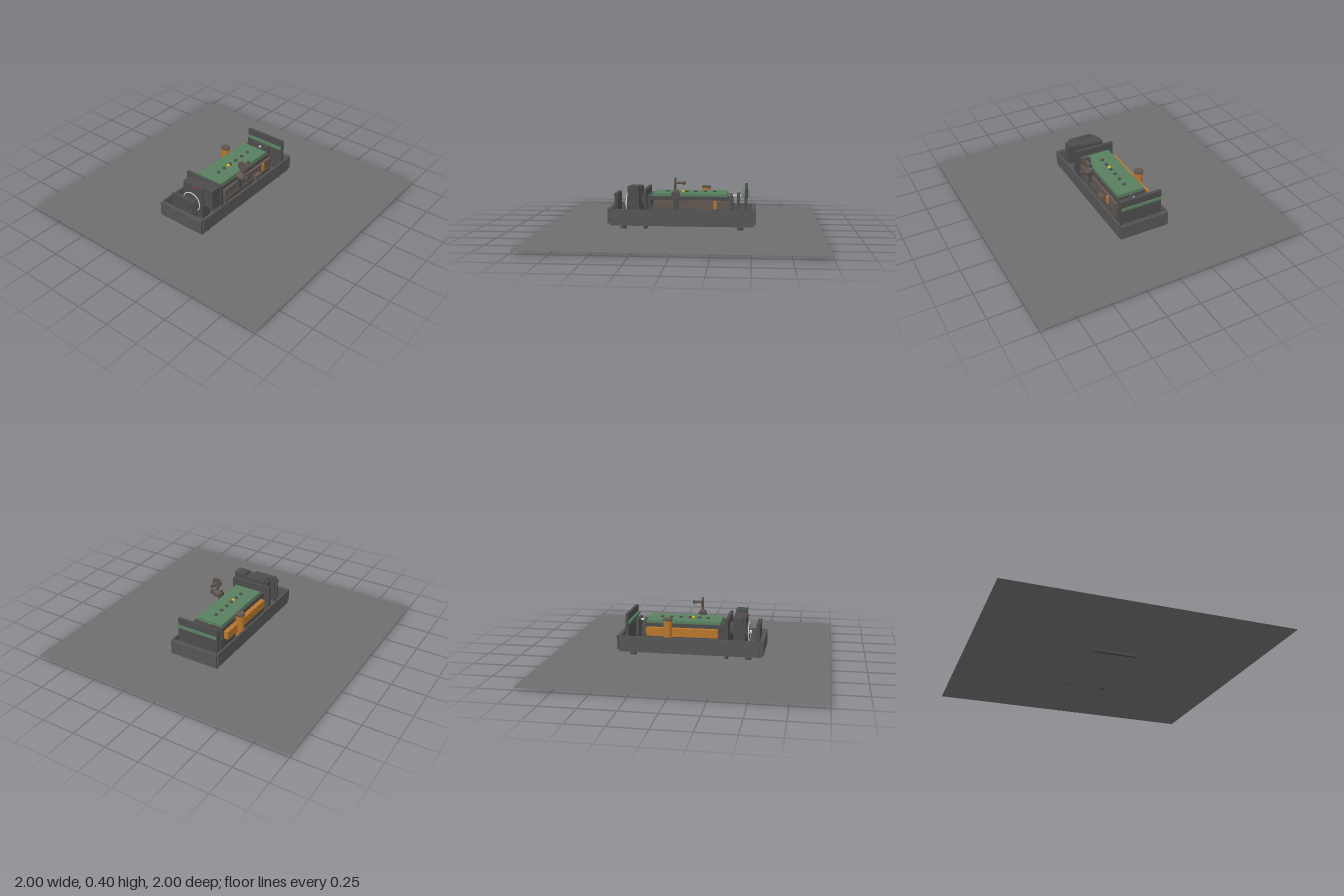
import * as THREE from 'three';

const mat = (color) => new THREE.MeshStandardMaterial({ color, side: THREE.DoubleSide });
const M = {
  ground: mat(0x6e6e6e), dark: mat(0x4c4c4c), frame: mat(0x555555), brown: mat(0x625650),
  green: mat(0x58805f), orange: mat(0xb8762c), steel: mat(0xcccccc),
  yellow: mat(0xe0c020), red: mat(0xb03030),
};

export function createModel() {
  const model = new THREE.Group();
  const add = (name, geometry, material, x = 0, y = 0, z = 0) => {
    const m = new THREE.Mesh(geometry, material);
    m.name = name;
    m.position.set(x, y, z);
    model.add(m);
    return m;
  };
  // box given by its limits on each axis
  const box = (name, material, x0, x1, y0, y1, z0, z1) => add(name,
    new THREE.BoxGeometry(x1 - x0, y1 - y0, z1 - z0), material, (x0 + x1) / 2, (y0 + y1) / 2, (z0 + z1) / 2);
  // cylinder of a given axis, placed by its centre
  const rod = (name, material, axis, r, length, x, y, z) => {
    const m = add(name, new THREE.CylinderGeometry(r, r, length, 24), material, x, y, z);
    if (axis === 'x') m.rotation.z = Math.PI / 2;
    if (axis === 'z') m.rotation.x = Math.PI / 2;
    return m;
  };
  const ring = (name, material, axis, r, tube, x, y, z) => {
    const m = add(name, new THREE.TorusGeometry(r, tube, 8, 32), material, x, y, z);
    if (axis === 'x') m.rotation.y = Math.PI / 2;
    return m;
  };

  // ground sheet
  add('ground', new THREE.PlaneGeometry(2, 2), M.ground, 0, 0.02, 0).rotation.x = -Math.PI / 2;

  // open tray
  box('trayFloor', M.frame, -0.515, 0.515, 0.045, 0.06, -0.18, 0.18);
  for (const s of [-1, 1]) {
    box('traySideWall', M.frame, -0.505, 0.505, 0.058, 0.165, s * 0.184 - 0.006, s * 0.184 + 0.006);
    box('trayEndWall', M.frame, s * 0.51 - 0.006, s * 0.51 + 0.006, 0.055, 0.165, -0.178, 0.178);
    box('endCover', M.frame, s * 0.525 - 0.007, s * 0.525 + 0.007, 0.06, 0.165, -0.185, 0.185);
  }

  // feet and floor screws
  for (const x of [-0.42, 0.42]) for (const z of [-0.14, 0.14]) {
    rod('footPad', M.dark, 'y', 0.024, 0.012, x, 0.026, z);
    rod('footStem', M.dark, 'y', 0.014, 0.018, x, 0.038, z);
  }
  for (const z of [-0.14, 0.14]) rod('floorScrew', M.steel, 'y', 0.013, 0.008, -0.44, 0.064, z);
  rod('floorScrew', M.steel, 'y', 0.011, 0.008, 0.34, 0.064, -0.14);

  // upright panels
  box('leftPanel', M.dark, -0.497, -0.47, 0.06, 0.265, -0.09, 0.09);
  box('leftPanelRib', M.dark, -0.49, -0.477, 0.06, 0.255, -0.11, 0.11);
  box('bulkhead', M.dark, -0.275, -0.252, 0, 0.302, -0.16, 0.155);
  box('rightPanel', M.dark, 0.45, 0.47, 0.06, 0.322, -0.16, 0.16);
  box('rightPanelStrip', M.green, 0.435, 0.448, 0.252, 0.272, -0.155, 0.155);
  box('rightPanelStrip', M.green, 0.472, 0.482, 0.252, 0.272, -0.155, 0.155);

  // drive unit
  box('driveBlock', M.dark, -0.39, -0.305, 0.06, 0.22, -0.1, 0.08);
  box('driveHousing', M.dark, -0.395, -0.302, 0.19, 0.31, -0.085, 0.085);
  box('driveHead', M.dark, -0.385, -0.305, 0.18, 0.327, 0.08, 0.17);
  box('driveBracket', M.dark, -0.375, -0.315, 0.08, 0.3, -0.105, -0.08);
  rod('indicator', M.red, 'x', 0.008, 0.012, -0.397, 0.3, 0.02);
  rod('driveDisc', M.dark, 'x', 0.07, 0.015, -0.405, 0.185, 0);
  ring('driveRim', M.steel, 'x', 0.074, 0.004, -0.412, 0.185, 0);
  rod('driveShaft', M.steel, 'x', 0.014, 0.16, -0.35, 0.185, 0);
  rod('coupling', M.dark, 'x', 0.06, 0.02, -0.288, 0.2, 0);

  // central chamber
  box('chamberBase', M.dark, -0.235, 0.36, 0.06, 0.175, -0.12, 0.12);
  box('chamberBody', M.brown, -0.205, 0.345, 0.1, 0.225, -0.115, 0.135);
  box('chamberCover', M.dark, -0.225, 0.335, 0.225, 0.252, -0.115, 0.115);
  box('chamberEnd', M.dark, 0.335, 0.365, 0.08, 0.235, -0.11, 0.11);
  box('chamberEnd', M.dark, -0.25, -0.225, 0.08, 0.255, -0.12, 0.12);
  box('topBoard', M.green, -0.215, 0.325, 0.252, 0.273, -0.105, 0.103);
  for (const x of [-0.11, -0.045, 0.025, 0.09, 0.16, 0.23])
    rod('boardStud', M.dark, 'y', 0.013, 0.012, x, 0.275, 0);
  rod('centreStud', M.yellow, 'y', 0.011, 0.016, 0, 0.276, 0);

  // rear rail and canister
  box('rearRail', M.orange, -0.2, 0.32, 0.165, 0.225, -0.152, -0.118);
  rod('canister', M.orange, 'y', 0.031, 0.2, 0.16, 0.188, -0.154);
  rod('canisterCap', M.brown, 'y', 0.034, 0.014, 0.16, 0.293, -0.154);

  // fittings on the front side
  box('frontClip', M.orange, 0.23, 0.25, 0.15, 0.225, 0.133, 0.145);
  box('frontBlock', M.brown, 0.125, 0.19, 0.13, 0.185, 0.133, 0.166);
  box('frontLedge', M.dark, -0.2, 0.3, 0.145, 0.165, 0.13, 0.15);

  // crank: bearing, hub, spoked wheel and handle
  box('crankBracket', M.dark, -0.06, -0.025, 0.15, 0.26, 0.125, 0.145);
  rod('crankHub', M.brown, 'z', 0.029, 0.05, -0.043, 0.27, 0.155);
  rod('crankAxle', M.dark, 'z', 0.018, 0.1, -0.043, 0.27, 0.166);
  ring('hubRing', M.brown, 'z', 0.026, 0.004, -0.043, 0.27, 0.18);
  box('crankArm', M.brown, -0.051, -0.035, 0.27, 0.35, 0.155, 0.172);
  ring('crankWheel', M.brown, 'x', 0.034, 0.006, -0.043, 0.357, 0.164);
  rod('wheelWeb', M.dark, 'x', 0.03, 0.006, -0.043, 0.357, 0.164);
  for (let i = 0; i < 3; i++)
    box('wheelSpoke', M.brown, -0.049, -0.037, 0.325, 0.389, 0.161, 0.167).rotation.x = i * Math.PI / 3;
  rod('crankHandle', M.brown, 'x', 0.01, 0.07, -0.008, 0.357, 0.164);
  rod('handleKnob', M.dark, 'x', 0.013, 0.012, 0.022, 0.357, 0.164);

  // output shaft on the right
  rod('outputShaft', M.steel, 'x', 0.009, 0.09, 0.375, 0.248, 0);
  rod('outputBearing', M.dark, 'x', 0.028, 0.025, 0.352, 0.235, 0);
  box('outputPlate', M.dark, 0.393, 0.415, 0.06, 0.262, -0.075, 0.07);
  return model;
}
